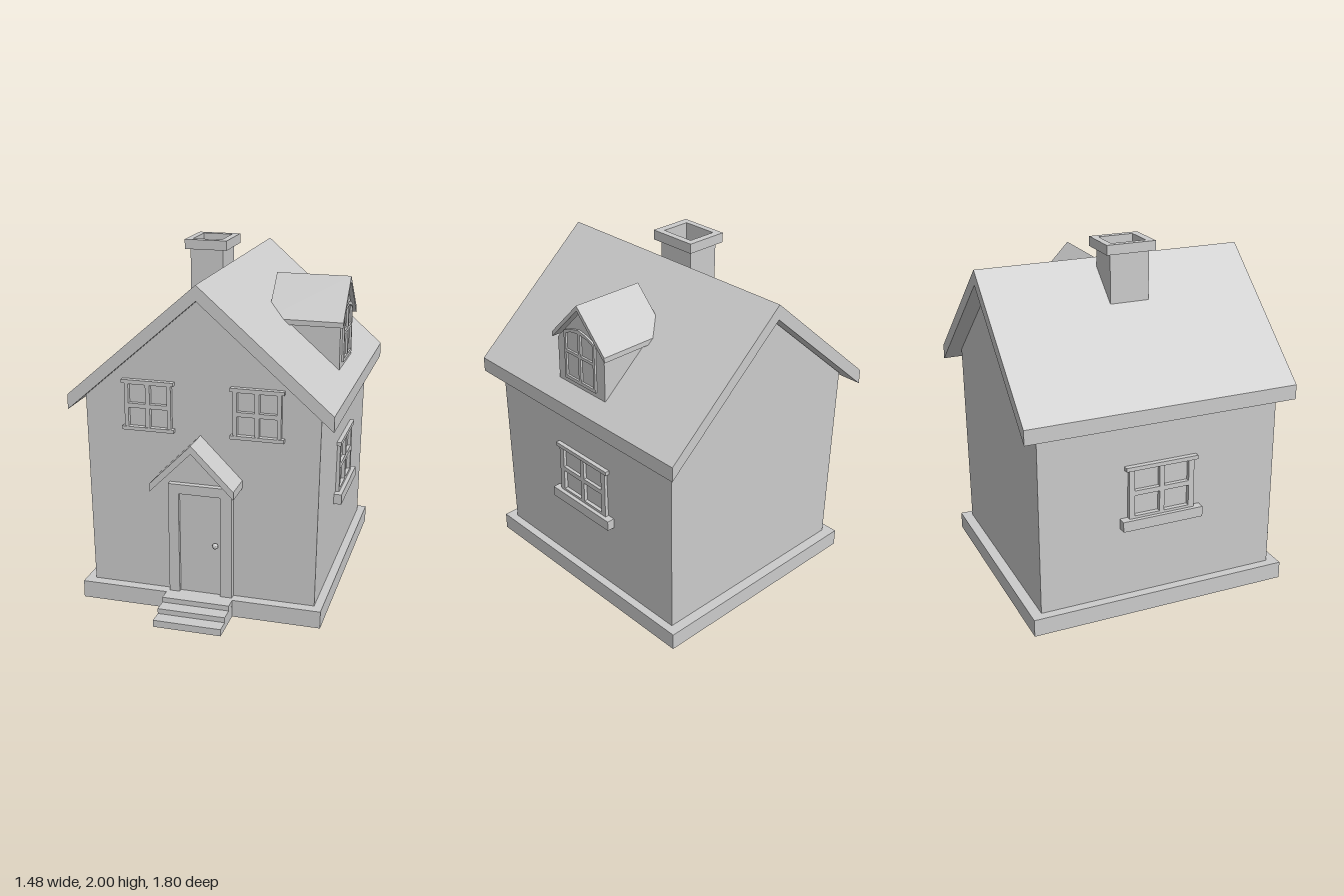
import * as THREE from 'three';

const mat = new THREE.MeshStandardMaterial({ color: 0xcccccc, flatShading: true, side: THREE.DoubleSide });

function add(parent, name, geo, x = 0, y = 0, z = 0) {
  const m = new THREE.Mesh(geo, mat);
  m.name = name;
  m.position.set(x, y, z);
  parent.add(m);
  return m;
}

// Box given by its extents
function box(parent, name, x0, x1, y0, y1, z0, z1) {
  return add(parent, name, new THREE.BoxGeometry(x1 - x0, y1 - y0, z1 - z0),
    (x0 + x1) / 2, (y0 + y1) / 2, (z0 + z1) / 2);
}

const poly = (pts) => new THREE.Shape(pts.map(([x, y]) => new THREE.Vector2(x, y)));
const rect = (x0, x1, y0, y1) => [[x0, y0], [x1, y0], [x1, y1], [x0, y1]];

// Outline with holes, extruded from z0 to z1
function slab(parent, name, pts, z0, z1, holes = []) {
  const s = poly(pts);
  s.holes = holes.map(poly);
  return add(parent, name, new THREE.ExtrudeGeometry(s, { depth: z1 - z0, bevelEnabled: false }), 0, 0, z0);
}

// Inverted V roof with vertical eave cuts
function gableRoof(parent, name, half, eave, apex, thick, z0, z1, cx = 0) {
  const pts = [[-half, eave], [-half, eave - thick], [0, apex - thick], [half, eave - thick], [half, eave], [0, apex]];
  return slab(parent, name, pts.map(([x, y]) => [x + cx, y]), z0, z1);
}

// Open shell through rectangles [y, x0, x1, z0, z1]
function shell(parent, name, rings) {
  const loops = rings.map(([y, x0, x1, z0, z1]) => [[x0, y, z1], [x1, y, z1], [x1, y, z0], [x0, y, z0]]);
  const v = [];
  for (let i = 0; i + 1 < loops.length; i++) {
    for (let j = 0; j < 4; j++) {
      const k = (j + 1) % 4, a = loops[i][j], b = loops[i][k], c = loops[i + 1][k], d = loops[i + 1][j];
      v.push(...a, ...b, ...c, ...a, ...c, ...d);
    }
  }
  const g = new THREE.BufferGeometry();
  g.setAttribute('position', new THREE.Float32BufferAttribute(v, 3));
  g.computeVertexNormals();
  return add(parent, name, g);
}

// Four-pane window facing +z, centred on x = 0, with its foot at y = 0
function makeWindow(name, w, h, border, bar, depth, back) {
  const g = new THREE.Group();
  g.name = name;
  const holes = [];
  const x1 = w / 2 - border, y0 = 0.02, y1 = h - 0.02, ym = (y0 + y1) / 2;
  for (const [a, b] of [[-x1, -bar / 2], [bar / 2, x1]]) {
    holes.push(rect(a, b, y0, ym - bar / 2), rect(a, b, ym + bar / 2, y1));
  }
  slab(g, 'windowFrame', rect(-w / 2, w / 2, 0, h), back, depth, holes);
  return g;
}

export function createModel() {
  const house = new THREE.Group();
  house.name = 'house';
  const cx = -0.005, cz = -0.1;

  // Plinth and slightly flared walls, open underneath
  shell(house, 'plinthAndWalls', [
    [0, -0.7, 0.69, -0.865, 0.67],
    [0.1, -0.7, 0.69, -0.865, 0.67],
    [0.1, -0.647, 0.643, -0.805, 0.61],
    [1.21, -0.665, 0.66, -0.81, 0.61],
  ]);
  const gable = [[-0.665, 1.21], [0.66, 1.21], [0, 1.79]];
  add(house, 'frontGable', new THREE.ShapeGeometry(poly(gable)), 0, 0, 0.61);
  add(house, 'backGable', new THREE.ShapeGeometry(poly(gable.map(([x, y]) => [-x - 0.005, y]))), 0, 0, -0.81)
    .rotation.y = Math.PI;

  gableRoof(house, 'mainRoof', 0.74, 1.23, 1.875, 0.085, -0.9, 0.69);

  // Hollow chimney with cap
  shell(house, 'chimney', [
    [1.5, -0.24, -0.048, -0.21, 0.02],
    [1.945, -0.24, -0.048, -0.21, 0.02],
    [1.945, -0.265, -0.018, -0.24, 0.05],
    [2, -0.265, -0.018, -0.24, 0.05],
    [2, -0.228, -0.057, -0.2, 0.005],
    [1.6, -0.228, -0.057, -0.2, 0.005],
  ]);

  // Upper front windows
  for (const x of [-0.297, 0.315]) {
    const w = makeWindow('frontWindow', 0.265, 0.28, 0.022, 0.025, 0.025, -0.005);
    box(w, 'topTrim', -0.148, 0.148, 0.265, 0.285, -0.005, 0.03);
    box(w, 'bottomTrim', -0.148, 0.148, 0, 0.02, -0.005, 0.03);
    w.position.set(x, 1.04, 0.61);
    house.add(w);
  }

  // Side windows with sills
  for (const s of [-1, 1]) {
    const w = makeWindow('sideWindow', 0.39, 0.31, 0.033, 0.028, 0.022, -0.012);
    box(w, 'topTrim', -0.215, 0.215, 0.292, 0.315, -0.012, 0.03);
    box(w, 'sill', -0.24, 0.24, -0.055, 0.005, -0.012, 0.045);
    w.position.set(cx + s * 0.655, 0.575, cz);
    w.rotation.y = s * Math.PI / 2;
    house.add(w);
  }

  // Door
  slab(house, 'doorFrame', [[-0.185, 0.1], [-0.125, 0.1], [-0.125, 0.695], [0.113, 0.695], [0.113, 0.1],
    [0.18, 0.1], [0.18, 0.75], [-0.185, 0.75]], 0.6, 0.645);
  box(house, 'door', -0.125, 0.113, 0.1, 0.695, 0.6, 0.622);
  add(house, 'doorKnob', new THREE.SphereGeometry(0.017, 12, 8), 0.085, 0.405, 0.645);
  const stem = add(house, 'knobStem', new THREE.CylinderGeometry(0.007, 0.007, 0.03, 8), 0.085, 0.405, 0.63);
  stem.rotation.x = Math.PI / 2;

  gableRoof(house, 'porchRoof', 0.235, 0.798, 1.035, 0.046, 0.605, 0.79, cx);

  // Entrance steps
  for (const [y0, y1, z] of [[0, 0.04, 0.9], [0.04, 0.07, 0.82], [0.07, 0.1, 0.74]]) {
    box(house, 'step', -0.197, 0.19, y0, y1, 0.62, z);
  }

  // Dormer, built facing +z and turned to face +x
  const dormer = new THREE.Group();
  dormer.name = 'dormer';
  slab(dormer, 'dormerBody', [[-0.19, 1.31], [0.19, 1.31], [0.19, 1.56], [0, 1.763], [-0.19, 1.56]], 0.3, 0.65);
  gableRoof(dormer, 'dormerRoof', 0.215, 1.587, 1.81, 0.03, 0.24, 0.67);
  const panes = [];
  for (const s of [-1, 1]) {
    panes.push(rect(s * 0.01, s * 0.11, 1.36, 1.5));
    panes.push([[s * 0.01, 1.517], [s * 0.11, 1.517], [s * 0.11, 1.612], [s * 0.07, 1.632], [s * 0.01, 1.642]]);
  }
  slab(dormer, 'dormerWindow', [[-0.125, 1.34], [0.125, 1.34], [0.125, 1.625], [0.06, 1.652], [0, 1.664],
    [-0.06, 1.652], [-0.125, 1.625]], 0.64, 0.662, panes);
  dormer.rotation.y = Math.PI / 2;
  dormer.position.z = cz - 0.003;
  house.add(dormer);

  return house;
}
